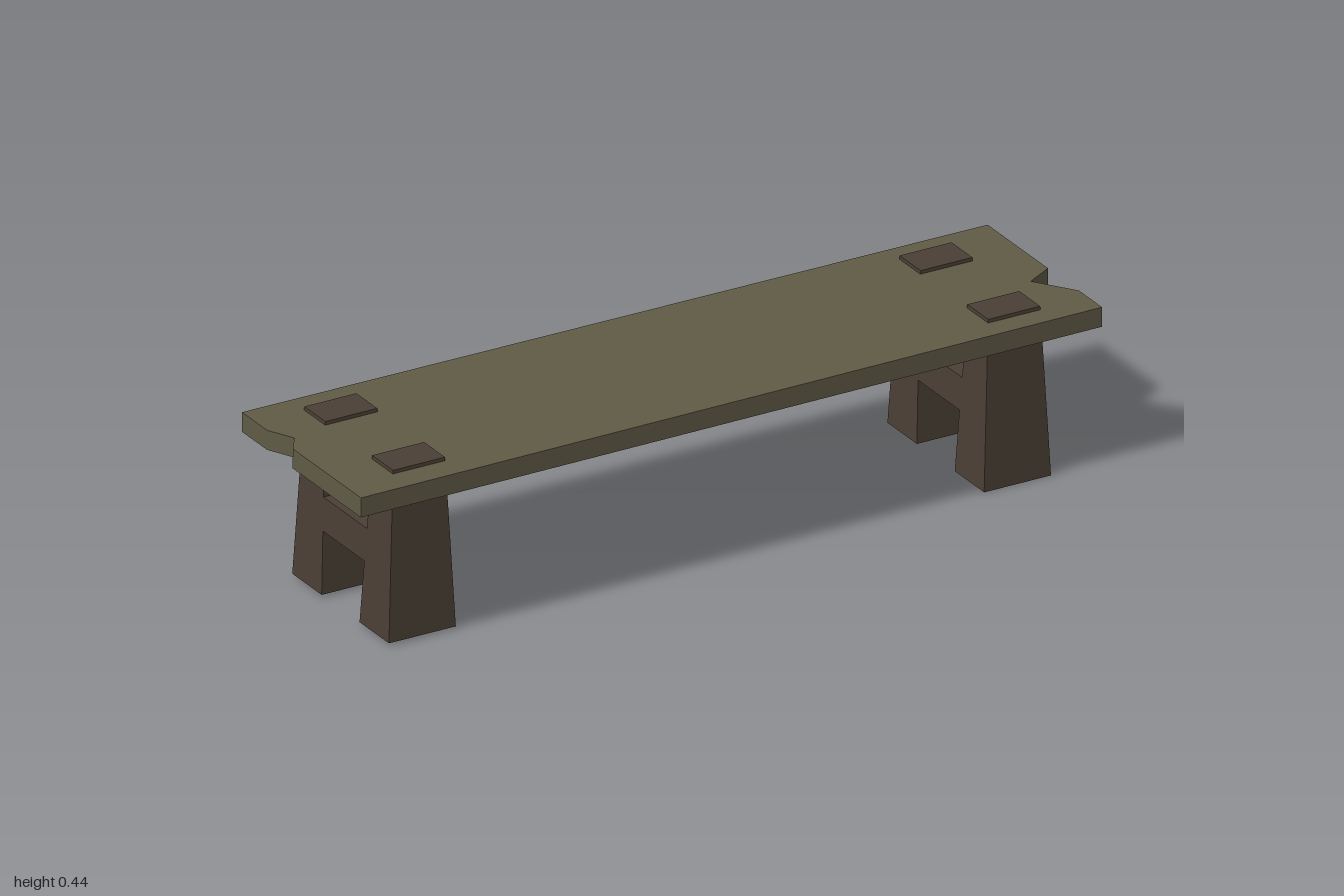
import * as THREE from 'three';

const wood = new THREE.MeshStandardMaterial({ color: 0x5f5b46, flatShading: true });
const darkWood = new THREE.MeshStandardMaterial({ color: 0x4a3f35, flatShading: true });

const toShape = (pts) => new THREE.Shape(pts.map(([a, b]) => new THREE.Vector2(a, b)));

// Seat board: slightly tapered outline in x/z with a split notch in each end
function createSeat() {
  const outline = [
    [-1, 0.266], [1, 0.257],
    [1, 0.153], [0.93, 0.054], [1, 0.014],
    [1, -0.257], [-1, -0.268],
    [-1, -0.155], [-0.967, -0.088], [-1, -0.04],
  ];
  const geo = new THREE.ExtrudeGeometry(toShape(outline.map(([x, z]) => [x, -z])), {
    depth: 0.05, bevelEnabled: false,
  });
  geo.rotateX(-Math.PI / 2);
  const seat = new THREE.Mesh(geo, wood);
  seat.name = 'seat';
  seat.position.y = 0.371;
  return seat;
}

// H-shaped trestle: two tapered legs joined by a flush stretcher, tops poking through the seat
function createTrestle(name) {
  const top = 0.43;
  const half = [
    [0.217, 0], [0.199, top], [0.105, top], [0.098, 0.242], // outer edge, tenon, inner edge
  ];
  const lower = [[0.093, 0.158], [0.085, 0]];
  const mirror = (pts) => pts.map(([z, y]) => [-z, y]).reverse();
  const outline = [...half, ...mirror(half), ...mirror(lower), ...lower];
  const geo = new THREE.ExtrudeGeometry(toShape(outline), { depth: 1, bevelEnabled: false });
  geo.translate(0, 0, -0.5).rotateY(-Math.PI / 2);

  // Narrow the thickness towards the top
  const p = geo.attributes.position;
  for (let i = 0; i < p.count; i++) {
    p.setX(i, p.getX(i) * THREE.MathUtils.lerp(0.18, 0.14, p.getY(i) / top));
  }
  geo.computeVertexNormals();
  const trestle = new THREE.Mesh(geo, darkWood);
  trestle.name = name;
  return trestle;
}

export function createModel() {
  const bench = new THREE.Group();
  bench.name = 'bench';
  bench.add(createSeat());

  const left = createTrestle('leftTrestle');
  left.position.set(0.8, 0, -0.003);
  const right = createTrestle('rightTrestle');
  right.position.set(-0.8, 0, -0.006);
  bench.add(left, right);

  // Slight lean of the whole bench
  bench.rotation.z = -0.004;
  bench.position.y = 0.0036;

  const model = new THREE.Group();
  model.name = 'plankBench';
  model.add(bench);
  return model;
}
